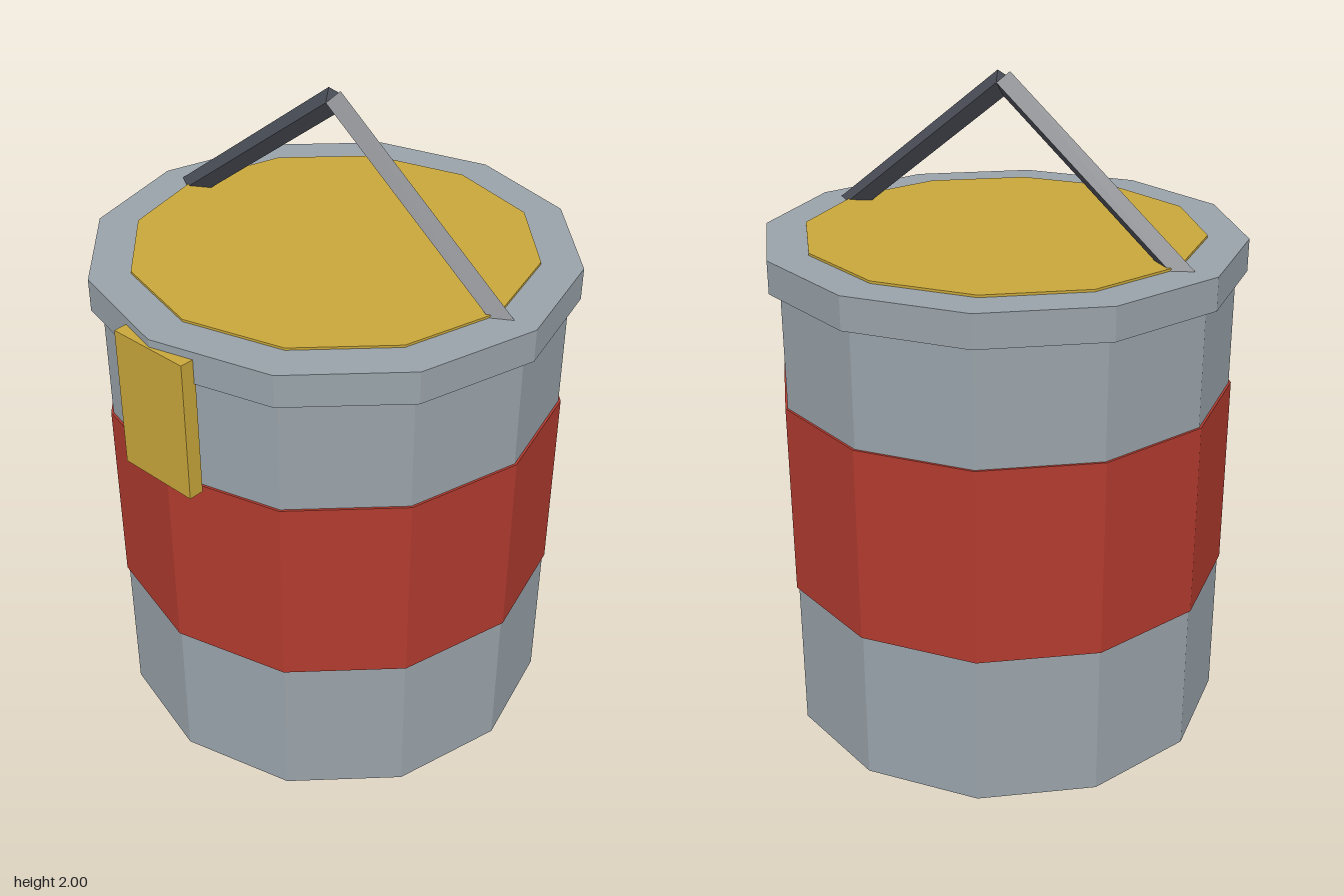
import * as THREE from 'three';

const flat = (name, color) => {
  const m = new THREE.MeshStandardMaterial({ color, flatShading: true });
  m.name = name;
  return m;
};

export function createModel() {
  const steel = flat('grey steel', 0x98a2a9);
  const red = flat('red paint', 0xb03a2e);
  const brass = flat('brass yellow', 0xc8a63a);
  const iron = flat('dark iron', 0x4a4e57);

  const group = new THREE.Group();
  const CENTER_Z = -0.003;

  const add = (name, geometry, material, x, y, z) => {
    const mesh = new THREE.Mesh(geometry, material);
    mesh.name = name;
    mesh.position.set(x, y, z);
    group.add(mesh);
    return mesh;
  };

  // Twelve-sided drum spanning two heights
  const drum = (name, radius, bottom, top, material) =>
    add(name, new THREE.CylinderGeometry(radius, radius, top - bottom, 12),
      material, 0, (bottom + top) / 2, CENTER_Z);

  drum('body', 0.685, 0, 1.5, steel);
  drum('band', 0.692, 0.475, 1.075, red);
  drum('rim', 0.718, 1.43, 1.528, steel);
  drum('lidPlate', 0.597, 1.5, 1.535, brass);

  // Latch plate on the front
  add('latch', new THREE.BoxGeometry(0.26, 0.43, 0.046), brass, 0, 1.29, 0.698);

  // Bail handle: two square bars set on edge, meeting at the peak
  const peak = new THREE.Vector3(0, 1.97, CENTER_Z);
  for (const side of [1, -1]) {
    const foot = new THREE.Vector3(side * 0.63, 1.495, CENTER_Z);
    const along = peak.clone().sub(foot);
    const middle = peak.clone().add(foot).multiplyScalar(0.5);
    const bar = add(side > 0 ? 'leftHandleBar' : 'rightHandleBar',
      new THREE.CylinderGeometry(0.036, 0.036, along.length(), 4),
      iron, middle.x, middle.y, middle.z);
    bar.quaternion.setFromUnitVectors(new THREE.Vector3(0, 1, 0), along.normalize());
  }

  return group;
}
